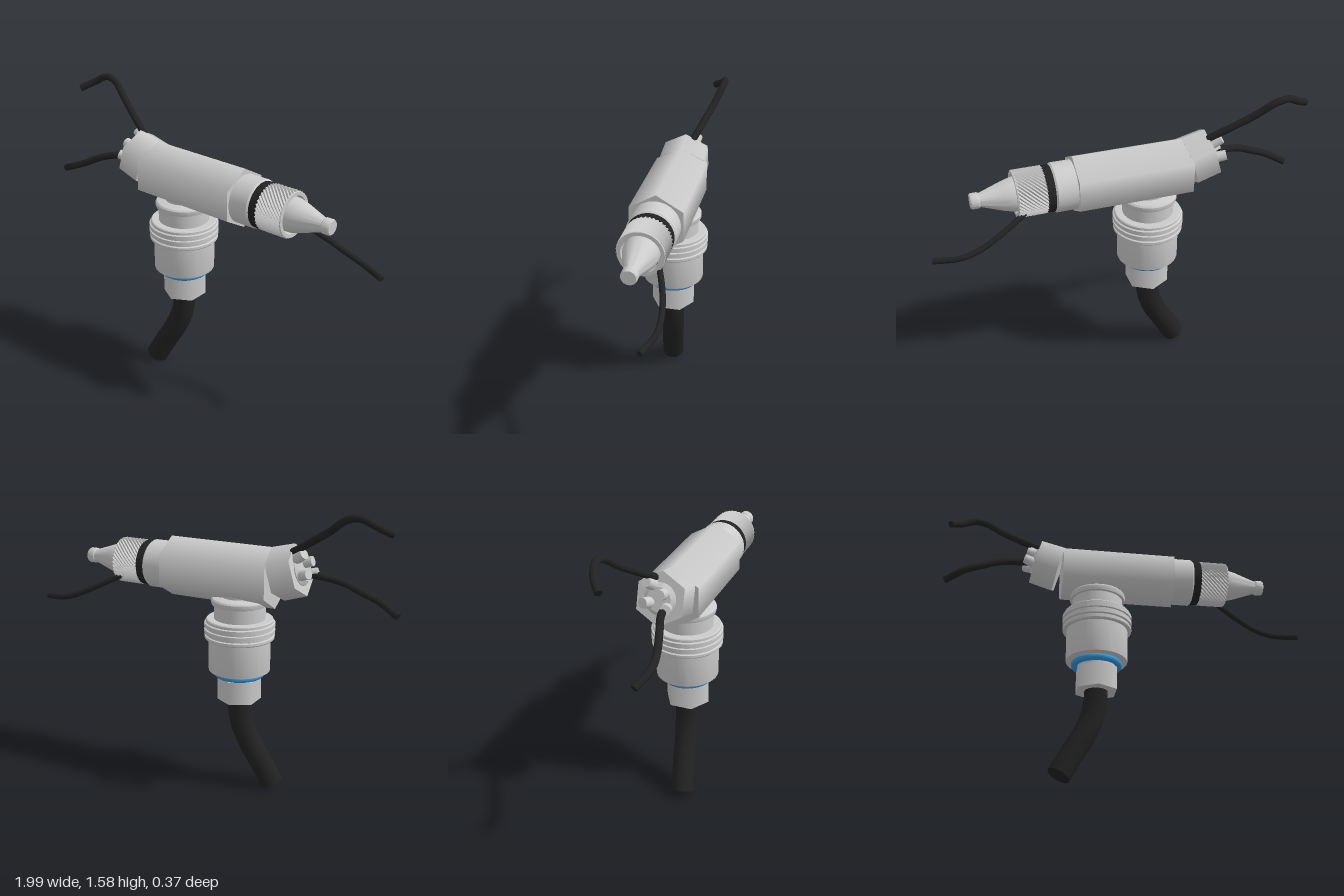
import * as THREE from 'three';
import { toCreasedNormals } from 'three/addons/utils/BufferGeometryUtils.js';

const grey = new THREE.MeshStandardMaterial({ color: 0xcccccc });
const black = new THREE.MeshStandardMaterial({ color: 0x222222 });
const blue = new THREE.MeshStandardMaterial({ color: 0x3399dd });
const knurl = new THREE.MeshStandardMaterial({ color: 0xcccccc, flatShading: true });

const AXIS_Y = 1.19; // height of the horizontal barrel
const STEM_X = -0.165; // position of the vertical stem

export function createModel() {
  const model = new THREE.Group();

  const add = (name, geometry, material = grey, parent = model) => {
    const mesh = new THREE.Mesh(geometry, material);
    mesh.name = name;
    parent.add(mesh);
    return mesh;
  };
  // Turned part: [radius, height] pairs from bottom to top
  const turned = (name, profile, material, parent) => {
    const points = profile.map(([r, h]) => new THREE.Vector2(r, h));
    return add(name, toCreasedNormals(new THREE.LatheGeometry(points, 48), 0.6), material, parent);
  };
  // Round flexible line with closed ends
  const cable = (name, path, radius) => {
    const curve = new THREE.CatmullRomCurve3(path.map((p) => new THREE.Vector3(...p)));
    add(name, new THREE.TubeGeometry(curve, 40, radius, 16), black);
    for (const [t, sign] of [[0, -1], [1, 1]]) {
      const end = add(name + 'End', new THREE.CircleGeometry(radius, 16), black);
      end.position.copy(curve.getPointAt(t));
      end.quaternion.setFromUnitVectors(
        new THREE.Vector3(0, 0, 1), curve.getTangentAt(t).multiplyScalar(sign));
    }
  };

  // Horizontal barrel: local +y runs along world +x
  const barrel = new THREE.Group();
  barrel.name = 'barrel';
  barrel.rotation.z = -Math.PI / 2;
  barrel.position.y = AXIS_Y;
  model.add(barrel);

  const body = add('hexBody',
    new THREE.CylinderGeometry(0.16, 0.16, 0.605, 6, 1, false, Math.PI / 2), grey, barrel);
  body.position.y = -0.0625;

  turned('barrelCollar', [[0, 0.22], [0.127, 0.22], [0.127, 0.345], [0.119, 0.355], [0, 0.355]], grey, barrel);
  turned('sealRing', [[0, 0.35], [0.12, 0.35], [0.12, 0.395], [0, 0.395]], black, barrel);

  // Knurled sleeve: alternate vertices are raised
  const sleeve = new THREE.CylinderGeometry(0.116, 0.116, 0.15, 72, 14, true);
  const pos = sleeve.attributes.position;
  for (let i = 0; i < pos.count; i++) {
    const row = Math.floor(i / 73), col = i % 73;
    const scale = (row + col) % 2 ? 1.05 : 0.985;
    pos.setX(i, pos.getX(i) * scale);
    pos.setZ(i, pos.getZ(i) * scale);
  }
  add('knurledSleeve', sleeve, knurl, barrel).position.y = 0.468;
  turned('sleeveRim', [[0.114, 0.535], [0.119, 0.54], [0.117, 0.546], [0.098, 0.546], [0.092, 0.51], [0, 0.51]], grey, barrel);

  turned('nozzle', [[0.088, 0.5], [0.088, 0.55], [0.075, 0.6], [0.036, 0.715], [0.036, 0.72],
    [0.041, 0.725], [0.041, 0.757], [0.036, 0.765], [0, 0.765]], grey, barrel);

  // Tilted hexagonal cap on the other end, local +y pointing outward
  const cap = new THREE.Group();
  cap.name = 'tiltedCap';
  cap.position.set(-0.44, 1.233, 0);
  cap.rotation.z = THREE.MathUtils.degToRad(74);
  model.add(cap);
  add('hexCap', new THREE.CylinderGeometry(0.136, 0.14, 0.13, 6, 1, false, Math.PI / 2), grey, cap);
  turned('capBoss', [[0.08, 0.06], [0.08, 0.07], [0.06, 0.085], [0, 0.085]], grey, cap);

  // Wire ferrules leaving the cap
  for (const [x, z, tiltX] of [[0.07, -0.045, -0.25], [-0.035, 0.045, 0.25], [0.03, 0.02, 0], [-0.02, -0.05, -0.3]]) {
    const ferrule = add('ferrule', new THREE.CylinderGeometry(0.026, 0.03, 0.08, 12), grey, cap);
    ferrule.position.set(x, 0.09, z);
    ferrule.rotation.set(tiltX, 0, x > 0.05 ? -0.3 : 0);
  }

  // Vertical stem
  const stem = new THREE.Group();
  stem.name = 'stem';
  stem.position.x = STEM_X;
  model.add(stem);
  turned('stemNeck', [[0.135, 0.94], [0.135, 1.03], [0.147, 1.032], [0.15, 1.04],
    [0.15, 1.058], [0.143, 1.066], [0.1, 1.075], [0.1, 1.16]], grey, stem);
  turned('ribbedRing', [[0.16, 0.848], [0.18, 0.848], [0.184, 0.853], [0.184, 0.866], [0.176, 0.87],
    [0.176, 0.876], [0.186, 0.88], [0.186, 0.902], [0.178, 0.905], [0.178, 0.911], [0.186, 0.914],
    [0.186, 0.934], [0.177, 0.938], [0.177, 0.951], [0.172, 0.956], [0.13, 0.956]], grey, stem);
  turned('stemHousing', [[0, 0.672], [0.162, 0.672], [0.163, 0.676], [0.163, 0.86]], grey, stem);

  const oRing = add('blueSeal', new THREE.TorusGeometry(0.117, 0.018, 16, 48), blue, stem);
  oRing.rotation.x = Math.PI / 2;
  oRing.position.y = 0.654;
  turned('stemCore', [[0.1, 0.62], [0.1, 0.68]], grey, stem);
  add('glandNut', new THREE.CylinderGeometry(0.117, 0.117, 0.125, 6), grey, stem).position.y = 0.567;

  // Cables
  cable('mainCable', [[-0.165, 0.52, 0], [-0.168, 0.45, 0], [-0.185, 0.36, 0.003],
    [-0.225, 0.26, 0.013], [-0.29, 0.145, 0.026], [-0.35, 0.033, 0.04]], 0.062);
  cable('upperWire', [[-0.47, 1.345, -0.035], [-0.6, 1.425, -0.08], [-0.7, 1.49, -0.115],
    [-0.78, 1.55, -0.14], [-0.85, 1.565, -0.143], [-0.92, 1.53, -0.12], [-0.985, 1.49, -0.068]], 0.019);
  cable('lowerWire', [[-0.5, 1.225, 0.035], [-0.6, 1.218, 0.045], [-0.7, 1.19, 0.08],
    [-0.8, 1.14, 0.11], [-0.88, 1.105, 0.118], [-0.985, 1.055, 0.08]], 0.019);
  cable('nozzleWire', [[0.5, 1.125, -0.075], [0.56, 1.095, -0.1], [0.65, 1.05, -0.13],
    [0.76, 0.998, -0.15], [0.86, 0.968, -0.147], [0.99, 0.95, -0.105]], 0.015);

  return model;
}
